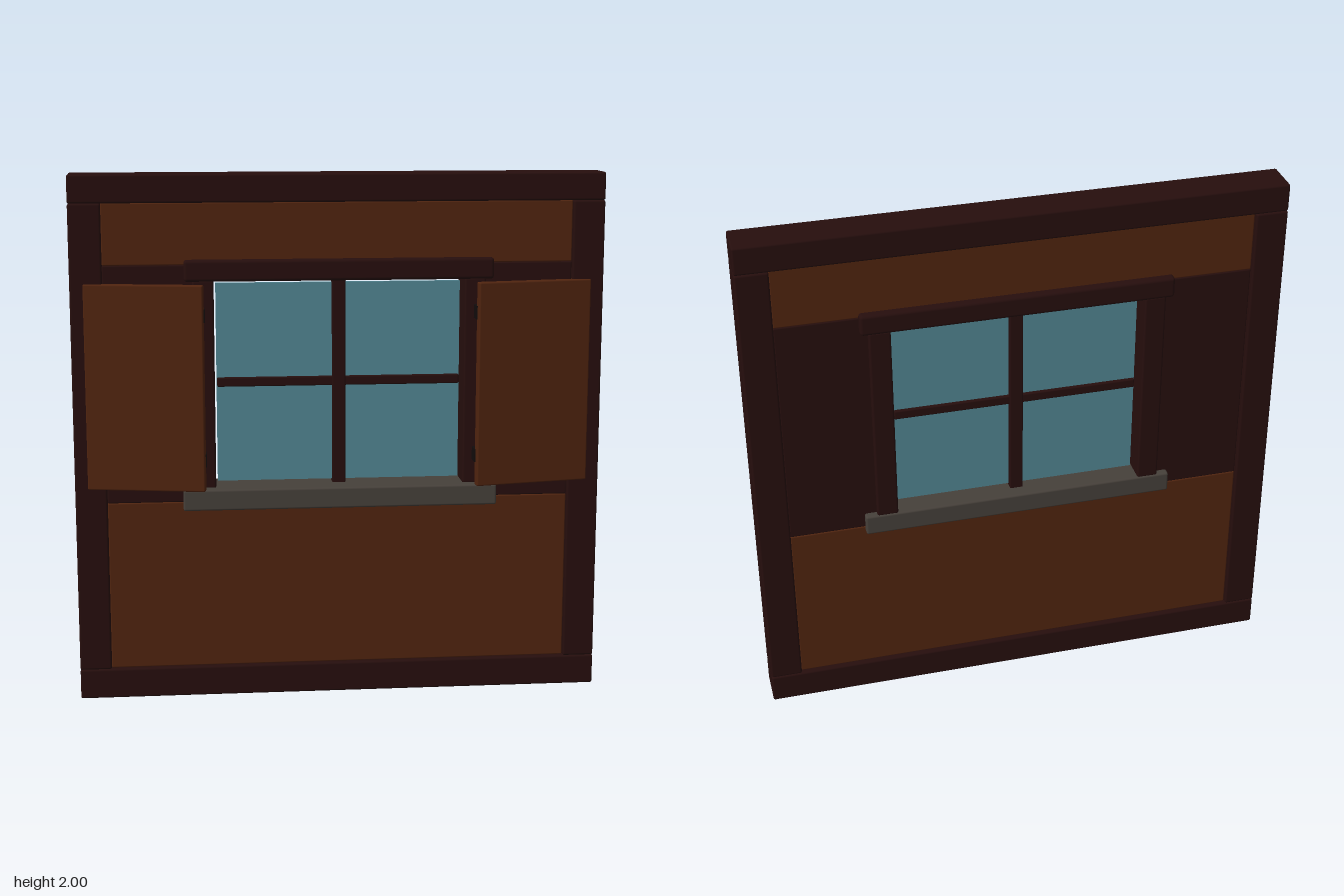
import * as THREE from 'three';
import { RoundedBoxGeometry } from 'three/addons/geometries/RoundedBoxGeometry.js';

const mat = (name, color) => {
  const m = new THREE.MeshStandardMaterial({ color });
  m.name = name;
  return m;
};

export function createModel() {
  const group = new THREE.Group();
  const timber = mat('dark timber', 0x260e0d);
  const board = mat('brown board', 0x50240f);
  const stone = mat('grey sill', 0x46403a);
  const glass = mat('blue glass', 0x528693);
  const iron = mat('black iron', 0x120c0c);

  // Softly bevelled block given by its extents on each axis
  function block(name, material, [x0, x1], [y0, y1], [z0, z1], bevel = 0.008) {
    const size = [x1 - x0, y1 - y0, z1 - z0];
    const geo = bevel > 0 ? new RoundedBoxGeometry(...size, 2, bevel) : new THREE.BoxGeometry(...size);
    const mesh = new THREE.Mesh(geo, material);
    mesh.name = name;
    mesh.position.set((x0 + x1) / 2, (y0 + y1) / 2, (z0 + z1) / 2);
    group.add(mesh);
    return mesh;
  }
  const span = (side, a, b) => (side > 0 ? [a, b] : [-b, -a]);

  // Outer frame
  const depth = [-0.108, 0.037];
  block('topBeam', timber, [-1, 1], [1.895, 2], depth);
  block('bottomBeam', timber, [-1, 1], [0, 0.115], depth);

  // Wall infill above and below the window
  const wall = [-0.09, 0.018];
  block('upperPanel', board, [-0.88, 0.88], [1.665, 1.895], wall, 0.005);
  block('lowerPanel', board, [-0.88, 0.88], [0.115, 0.765], wall, 0.005);

  // Window surround
  block('lintel', timber, [-0.58, 0.58], [1.605, 1.685], [-0.12, 0.05], 0.012);
  block('sill', stone, [-0.595, 0.595], [0.745, 0.825], [-0.118, 0.088]);

  // Glazing and its bars
  block('glass', glass, [-0.462, 0.462], [0.835, 1.592], [-0.042, -0.028], 0);
  block('verticalBar', timber, [-0.025, 0.025], [0.82, 1.61], [-0.065, -0.005], 0.005);
  block('horizontalBar', timber, [-0.46, 0.46], [1.2, 1.235], [-0.055, -0.015], 0.005);

  for (const side of [-1, 1]) {
    const label = side > 0 ? 'left' : 'right';
    block(label + 'Post', timber, span(side, 0.88, 1), [0.115, 1.895], depth);
    block(label + 'Infill', timber, span(side, 0.53, 0.88), [0.765, 1.665], wall, 0.005);
    block(label + 'Jamb', timber, span(side, 0.47, 0.55), [0.82, 1.61], [-0.114, 0.043]);

    // Open shutter, its hinged edge standing off the wall
    const shutter = block(label + 'Shutter', board, span(side, 0.507, 0.953), [0.825, 1.6], [0.048, 0.082], 0.006);
    shutter.rotation.y = side * 0.18;

    // Hinges
    for (const y of [0.94, 1.485])
      block(label + 'Hinge', iron, span(side, 0.505, 0.525), [y - 0.025, y + 0.025], [0.035, 0.1], 0);
  }
  return group;
}
